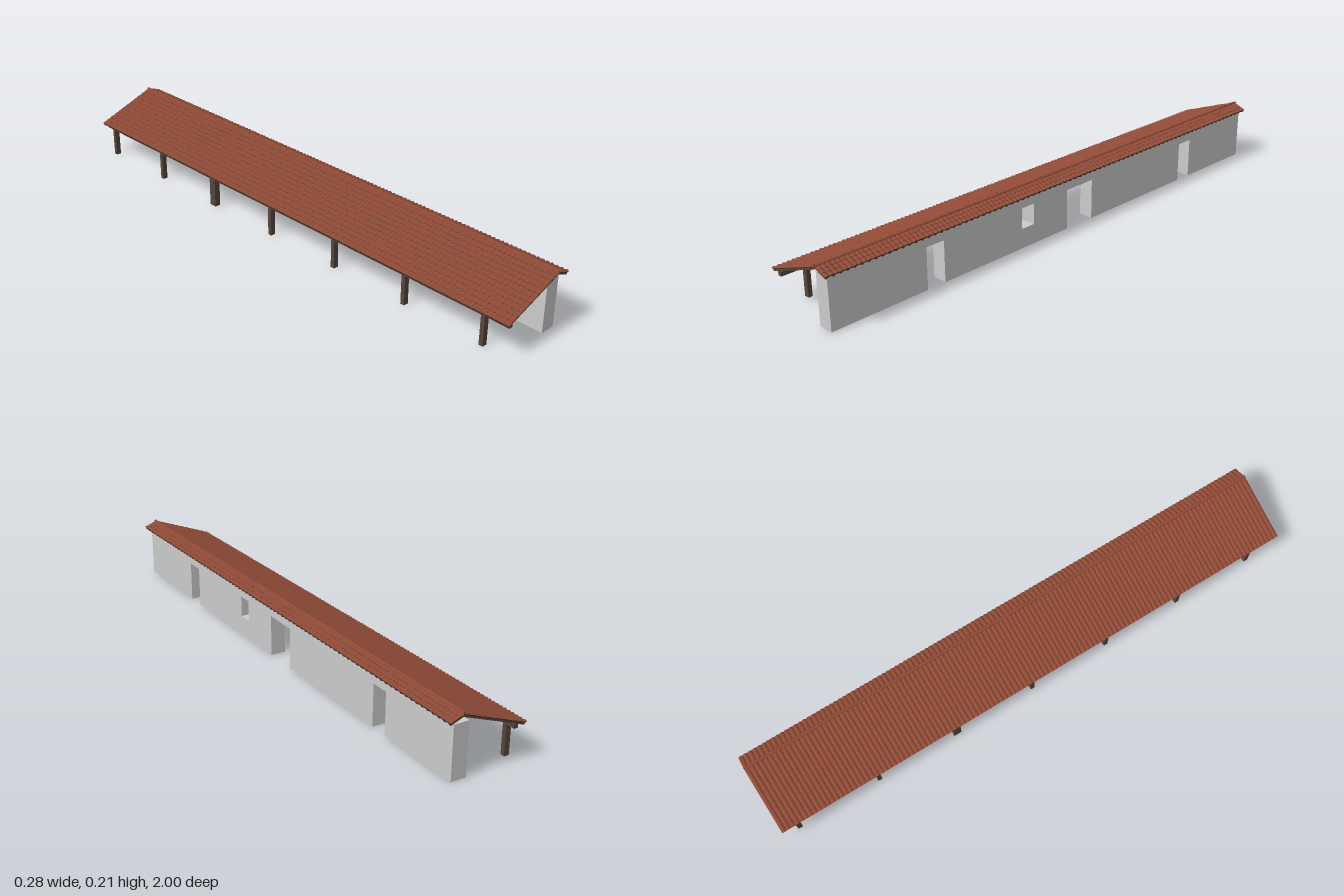
import * as THREE from 'three';
import { mergeGeometries } from 'three/addons/utils/BufferGeometryUtils.js';

const RIDGE_X = 0.089, RIDGE_Y = 0.213, PITCH = 0.363;
const WAVES = 120, SEGS = 6, RAFTERS = 80;

const stone = new THREE.MeshStandardMaterial({ color: 0xcccccc });
const wood = new THREE.MeshStandardMaterial({ color: 0x56453a });
const darkWood = new THREE.MeshStandardMaterial({ color: 0x3f302a });
const clay = new THREE.MeshStandardMaterial({ color: 0x8f4a36, flatShading: true, side: THREE.DoubleSide });

function add(parent, name, geometry, material) {
  const mesh = new THREE.Mesh(geometry, material);
  mesh.name = name;
  parent.add(mesh);
  return mesh;
}

// Box given by its low and high corner
function box(x0, y0, z0, x1, y1, z1) {
  return new THREE.BoxGeometry(x1 - x0, y1 - y0, z1 - z0)
    .translate((x0 + x1) / 2, (y0 + y1) / 2, (z0 + z1) / 2);
}

// One course of arched tiles, lifted at its lower end to overlap the next
function tileCourse(x0, x1) {
  const g = new THREE.PlaneGeometry(x1 - x0, 2, 1, WAVES * SEGS).rotateX(-Math.PI / 2);
  const p = g.attributes.position;
  for (let i = 0; i < p.count; i++) {
    const arch = Math.abs(Math.sin((p.getZ(i) + 1) / 2 * WAVES * Math.PI));
    const lift = p.getX(i) > 0 ? 0.0015 : 0;
    p.setY(i, -0.0055 + 0.004 * arch + lift);
  }
  return g.translate((x0 + x1) / 2, 0, 0);
}

// Roof slope: local +x runs down from the ridge
function roofSlope(name, length, courses) {
  const slope = new THREE.Group();
  slope.name = name;
  const start = 0.004, step = (length - start) / courses;
  const tiles = [];
  for (let i = 0; i < courses; i++) {
    const x0 = start + i * step;
    tiles.push(tileCourse(x0, x0 + step));
  }
  add(slope, 'tiles', mergeGeometries(tiles), clay);
  add(slope, 'deck', box(start, -0.0085, -0.997, length - 0.001, -0.0056, 0.997), darkWood);
  const rafters = [];
  for (let i = 0; i <= RAFTERS; i++) {
    const z = -0.992 + 1.984 * i / RAFTERS;
    rafters.push(box(start + 0.001, -0.0148, z - 0.004, length - 0.002, -0.0085, z + 0.004));
  }
  add(slope, 'rafters', mergeGeometries(rafters), wood);
  slope.rotation.z = -PITCH;
  return slope;
}

// Thick wall with three doorways and a window, drawn along -z
function wallGeometry() {
  const top = 0.178, lintel = 0.144;
  const s = new THREE.Shape();
  s.moveTo(-0.98, 0);
  for (const [a, b] of [[-0.62, -0.55], [0, 0.125], [0.612, 0.676]]) {
    s.lineTo(a, 0);
    s.lineTo(a, lintel);
    s.lineTo(b, lintel);
    s.lineTo(b, 0);
  }
  s.lineTo(0.99, 0);
  s.lineTo(0.99, top);
  s.lineTo(-0.98, top);
  s.closePath();
  const hole = new THREE.Path();
  hole.moveTo(-0.214, 0.07);
  hole.lineTo(-0.214, lintel);
  hole.lineTo(-0.16, lintel);
  hole.lineTo(-0.16, 0.07);
  hole.closePath();
  s.holes.push(hole);
  return new THREE.ExtrudeGeometry(s, { depth: 0.053, bevelEnabled: false })
    .rotateY(Math.PI / 2).translate(0.063, 0, 0);
}

export function createModel() {
  const model = new THREE.Group();
  model.name = 'porticoShed';

  add(model, 'wall', wallGeometry(), stone);

  // Posts, with a thicker one under the beam joint
  for (let i = 0; i < 7; i++) {
    const thick = i === 2;
    const hx = thick ? 0.011 : 0.009, hz = thick ? 0.014 : 0.0075;
    const z = -0.9475 + i * 0.3075;
    add(model, thick ? 'jointPost' : 'post', box(-0.113 - hx, 0, z - hz, -0.113 + hx, 0.103, z + hz), wood);
  }
  add(model, 'eaveBeam', box(-0.12, 0.102, -0.985, -0.106, 0.117, 0.99), wood);

  // Long slope over the posts and short slope over the wall
  const roof = new THREE.Group();
  roof.name = 'roof';
  roof.position.set(RIDGE_X, RIDGE_Y, 0);
  const longSide = new THREE.Group();
  longSide.name = 'longSide';
  longSide.rotation.y = Math.PI;
  longSide.add(roofSlope('longSlope', 0.245, 12));
  roof.add(longSide, roofSlope('shortSlope', 0.053, 3));

  // Half-round ridge tiles
  const caps = [];
  const n = 60, len = 2 / n;
  for (let i = 0; i < n; i++) {
    caps.push(new THREE.CylinderGeometry(0.0058, 0.005, len, 8, 1, true, Math.PI / 2, Math.PI)
      .rotateX(Math.PI / 2).translate(0, -0.0045, -1 + (i + 0.5) * len));
  }
  add(roof, 'ridgeTiles', mergeGeometries(caps), clay);
  model.add(roof);
  return model;
}
